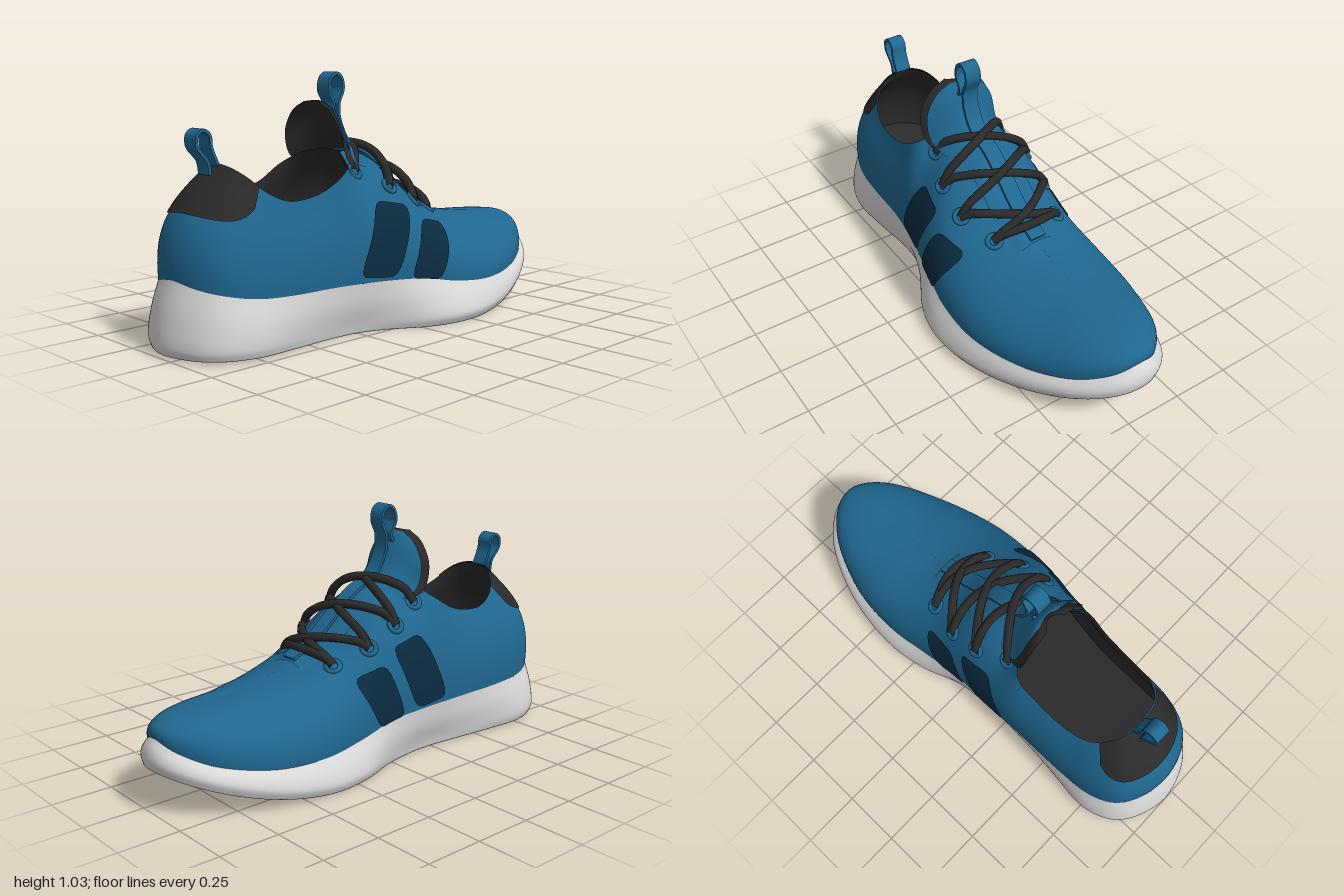
import * as THREE from 'three';
import { toCreasedNormals } from 'three/addons/utils/BufferGeometryUtils.js';

const V = (x, y, z) => new THREE.Vector3(x, y, z);
const clamp = THREE.MathUtils.clamp, smooth = THREE.MathUtils.smoothstep;
const SPINE = -0.045;

// Rows run from heel to toe; every row gives one point on each side.
// Sole outline: x, z of outer side, z of inner side
const soleEdge = [
  [-1, -0.05, -0.05], [-0.965, 0.09, -0.19], [-0.89, 0.18, -0.285], [-0.76, 0.225, -0.33],
  [-0.6, 0.215, -0.315], [-0.4, 0.195, -0.285], [-0.25, 0.205, -0.27], [-0.12, 0.255, -0.275],
  [0.03, 0.345, -0.305], [0.2, 0.385, -0.365], [0.4, 0.365, -0.39], [0.64, 0.29, -0.36],
  [0.85, 0.18, -0.275], [0.965, 0.065, -0.165], [1, -0.05, -0.05]];
// Seam between sole and upper: x, y, z of outer side, z of inner side
const seamEdge = [
  [-0.95, 0.285, -0.05, -0.05], [-0.925, 0.265, 0.07, -0.17], [-0.86, 0.245, 0.155, -0.26],
  [-0.75, 0.225, 0.2, -0.305], [-0.6, 0.215, 0.215, -0.315], [-0.4, 0.212, 0.222, -0.315],
  [-0.25, 0.21, 0.243, -0.315], [-0.12, 0.207, 0.27, -0.315], [0.03, 0.197, 0.307, -0.315],
  [0.2, 0.165, 0.335, -0.33], [0.4, 0.147, 0.33, -0.35], [0.62, 0.155, 0.27, -0.33],
  [0.82, 0.195, 0.17, -0.255], [0.935, 0.248, 0.06, -0.155], [0.97, 0.285, -0.048, -0.048]];
// Collar, then the crown line of the forefoot: x, y, half width
const topEdge = [
  [-0.745, 0.695, 0], [-0.738, 0.685, 0.07], [-0.712, 0.655, 0.125], [-0.65, 0.595, 0.175],
  [-0.55, 0.557, 0.196], [-0.4, 0.58, 0.203], [-0.27, 0.655, 0.195], [-0.2, 0.71, 0.08],
  [-0.03, 0.675, 0], [0.17, 0.52, 0], [0.36, 0.428, 0], [0.5, 0.395, 0],
  [0.6, 0.38, 0], [0.66, 0.373, 0], [0.68, 0.371, 0]];

// Closed curve: out along the outer side, back along the inner side
function loop(rows, outer, inner) {
  const pts = [...rows.map(outer), ...rows.slice(1, -1).reverse().map(inner)];
  return new THREE.CatmullRomCurve3(pts, true, 'catmullrom', 0.5);
}
const soleBottom = x => (x > 0.25 ? 0.17 * ((x - 0.25) / 0.75) ** 2 : 0.012 * smooth(-x, 0.3, 0.9));
const soleLoop = loop(soleEdge, r => V(r[0], 0, r[1]), r => V(r[0], 0, r[2]));
const seamLoop = loop(seamEdge, r => V(r[0], r[1], r[2]), r => V(r[0], r[1], r[3]));
const topLoop = loop(topEdge, r => V(r[0], r[1], -0.035 + r[2]), r => V(r[0], r[1], -0.035 - r[2]));

// Smooth surface from a rule f(u, v), optionally closed along u
function grid(f, nu, nv, closed = false, flip = false) {
  const pos = [], idx = [], cols = closed ? nu : nu + 1;
  for (let j = 0; j <= nv; j++)
    for (let i = 0; i < cols; i++) pos.push(...f(i / nu, j / nv).toArray());
  for (let j = 0; j < nv; j++)
    for (let i = 0; i < nu; i++) {
      const k = (i + 1) % cols, a = j * cols + i, b = j * cols + k, c = b + cols, d = a + cols;
      idx.push(...(flip ? [a, c, b, a, d, c] : [a, b, c, a, c, d]));
    }
  const g = new THREE.BufferGeometry();
  g.setAttribute('position', new THREE.Float32BufferAttribute(pos, 3));
  g.setIndex(idx);
  g.computeVertexNormals();
  return g;
}

// Upper: each profile curves from the seam up to the collar or crown
function upper(t, s) {
  t = ((t % 1) + 1) % 1;
  const a = seamLoop.getPoint(t), d = topLoop.getPoint(t), h = d.y - a.y;
  const out = V(a.x - clamp(a.x, -0.7, 0.6), 0, a.z - SPINE).normalize();
  const toe = smooth(a.x, 0.65, 0.95);
  const full = 0.6 - 0.14 * clamp((a.z - SPINE) / 0.2, -1, 1) + 0.12 * toe;
  const b = a.clone().addScaledVector(out, 0.015).add(V(0, (0.5 + 0.25 * toe) * h, 0));
  const c = d.clone().lerp(a, full);
  c.y = d.y - h * (0.3 - 0.26 * smooth(d.x, -0.27, -0.08));
  return new THREE.CubicBezierCurve3(a, b, c, d).getPoint(s);
}
function upperNormal(t, s) {
  const e = 1e-3, q = Math.min(s, 0.99), p = upper(t, q);
  return upper(t + e, q).sub(p).cross(upper(t, q + e).sub(p)).normalize();
}
const raised = (t, s, d) => upper(t, s).addScaledVector(upperNormal(t, s), d);

// Finds the surface parameters at a given x and y on one side
const samples = [];
for (let i = 1; i < 90; i++)
  for (let j = 0; j <= 30; j++) samples.push([i / 90, j / 30, upper(i / 90, j / 30)]);
function findOnUpper(x, y, side) {
  let t = 0, s = 0, best = 9;
  for (const [ti, si, p] of samples) {
    const dist = Math.hypot(p.x - x, p.y - y);
    if ((ti < 0.5) === (side > 0) && dist < best) { best = dist; t = ti; s = si; }
  }
  for (let k = 0; k < 5; k++) {
    const e = 1e-4, p = upper(t, s);
    const dt = upper(t + e, s).sub(p).divideScalar(e), ds = upper(t, s + e).sub(p).divideScalar(e);
    const det = dt.x * ds.y - dt.y * ds.x, ex = x - p.x, ey = y - p.y;
    if (Math.abs(det) < 1e-4) break;
    t += clamp((ex * ds.y - ey * ds.x) / det, -0.02, 0.02);
    s = clamp(s + clamp((dt.x * ey - dt.y * ex) / det, -0.05, 0.05), 0, 1);
  }
  return [t, s];
}

// Webbing strip: a path in the side plane given thickness and width
function ribbon(path, width, zc) {
  const curve = new THREE.CatmullRomCurve3(path.map(p => V(p[0], p[1], 0)));
  const a = [], b = [];
  for (let i = 0; i <= 70; i++) {
    const p = curve.getPoint(i / 70), q = curve.getTangent(i / 70);
    a.push(new THREE.Vector2(p.x - q.y * 0.006, p.y + q.x * 0.006));
    b.unshift(new THREE.Vector2(p.x + q.y * 0.006, p.y - q.x * 0.006));
  }
  const g = new THREE.ExtrudeGeometry(new THREE.Shape([...a, ...b]), { depth: width, bevelEnabled: false });
  return toCreasedNormals(g.translate(0, 0, zc - width / 2), 0.8);
}

export function createModel() {
  const model = new THREE.Group();
  const material = (name, color) =>
    Object.assign(new THREE.MeshStandardMaterial({ color, side: THREE.DoubleSide }), { name });
  const blue = material('blue knit', 0x1f6790), navy = material('navy patch', 0x0b2c41);
  const black = material('black lining', 0x2a2a2a), white = material('pale sole', 0xdadada);
  const add = (name, geometry, mat) => {
    const mesh = new THREE.Mesh(geometry, mat);
    mesh.name = name;
    model.add(mesh);
    return mesh;
  };

  // Sole: underside rising to the toe, rounded edge, wall tapering to the seam
  const soleRule = (t, v) => {
    const e = soleLoop.getPoint(t), top = seamLoop.getPoint(t);
    const inset = k => {
      const x = e.x * (0.8 + 0.2 * k);
      return V(x, soleBottom(x), SPINE + (e.z - SPINE) * k);
    };
    if (v < 0.2) return inset(v * 4.6);
    const wide = V(e.x, soleBottom(e.x) + 0.035, e.z), mid = wide.clone().lerp(top, 0.5);
    mid.add(V(e.x - clamp(e.x, -0.7, 0.6), 0, e.z - SPINE).normalize().multiplyScalar(0.008));
    return new THREE.CatmullRomCurve3([inset(0.96), wide, mid, top]).getPoint((v - 0.2) / 0.8);
  };
  add('sole', grid(soleRule, 140, 20, true), white);

  // Upper with dark lining and insole
  add('upper', grid(upper, 168, 28, true), blue);
  add('lining', grid((t, s) => {
    const p = upper(t, s), k = 0.015 * Math.min(1, (1 - s) * 8);
    const inward = V(clamp(p.x, -0.6, 0.5) - p.x, 0, SPINE - p.z).normalize();
    return p.addScaledVector(inward, k).add(V(0, -0.6 * k, 0));
  }, 140, 20, true, true), black);
  add('insole', grid((t, s) => {
    const p = seamLoop.getPoint(t);
    return V(p.x * 0.98, p.y + 0.005, SPINE + (p.z - SPINE) * s * 0.96);
  }, 100, 4, true, true), black);

  // Heel patch
  add('heelPatch', grid((u, v) => {
    const q = 2 * u - 1, s0 = 0.51 + 0.06 * q * q + 0.2 * q ** 8;
    return raised(q * 2.6 / 28, s0 + (1 - s0) * v, 0.006);
  }, 36, 12), black);

  // Side patches: rounded slanted panels on both sides
  const panels = [
    [[-0.285, 0.235], [-0.105, 0.218], [0.005, 0.49], [-0.16, 0.525]],
    [[-0.045, 0.205], [0.1, 0.182], [0.21, 0.395], [0.045, 0.435]]];
  for (const side of [1, -1])
    for (const [a, b, c, d] of panels)
      add('sidePatch', grid((u, v) => {
        const ang = u * 2 * Math.PI, co = Math.cos(ang), si = Math.sin(ang);
        const r = v / (Math.abs(co) ** 6 + Math.abs(si) ** 6) ** (1 / 6);
        const m = (1 + r * co) / 2, n = (1 + r * si) / 2;
        const at = k => (a[k] * (1 - m) + b[k] * m) * (1 - n) + (d[k] * (1 - m) + c[k] * m) * n;
        return raised(...findOnUpper(at(0), at(1), side), 0.006);
      }, 40, 7, true, side < 0), navy);

  // Tongue: arched sheet; rows give x, y, half width, then how far the edges fall back and down
  const rows = [[0.34, 0.45, 0.1, 0, 0.03], [0.2, 0.515, 0.11, 0, 0.03], [0.1, 0.597, 0.11, 0, 0.03],
    [0, 0.672, 0.115, 0.01, 0.04], [-0.1, 0.722, 0.15, 0.04, 0.07], [-0.155, 0.795, 0.165, 0.06, 0.105],
    [-0.193, 0.868, 0.158, 0.05, 0.08], [-0.222, 0.902, 0.11, 0.025, 0.035], [-0.235, 0.91, 0.045, 0.01, 0.006]];
  const mid = new THREE.CatmullRomCurve3(rows.map(r => V(r[0], r[1], r[2])));
  const fall = new THREE.CatmullRomCurve3(rows.map(r => V(r[3], r[4], 0)), false, 'catmullrom');
  const tongue = (u, v, wide, back) => {
    const q = 2 * u - 1, m = mid.getPoint(v), f = fall.getPoint(v);
    return V(m.x - (f.x + back) * q * q, m.y - f.y * q * q, -0.035 - m.z * wide * q);
  };
  add('tongue', grid((u, v) => tongue(u, v, 1, 0), 24, 48, false, true), blue);
  add('tongueLining', grid((u, v) =>
    tongue(u, 0.5 + 0.5 * v, 1.06, 0.022).add(V(-0.014, -0.006 + 0.012 * v, 0)), 24, 30), black);

  // Pull loops
  add('tonguePull', ribbon([[-0.2, 0.87], [-0.188, 0.9], [-0.214, 0.955], [-0.203, 1.005], [-0.175, 1.022],
    [-0.147, 1.005], [-0.137, 0.96], [-0.162, 0.895], [-0.15, 0.815], [-0.1, 0.738], [0, 0.686],
    [0.1, 0.611], [0.2, 0.528], [0.335, 0.46]], 0.07, -0.035), blue);
  add('heelPull', ribbon([[-0.79, 0.66], [-0.8, 0.71], [-0.845, 0.765], [-0.845, 0.808], [-0.817, 0.826],
    [-0.79, 0.808], [-0.782, 0.76], [-0.752, 0.69]], 0.07, -0.055), blue);

  // Eyelets
  const holes = [[-0.19, 0.635], [-0.05, 0.57], [0.09, 0.5], [0.24, 0.445]];
  const eyelets = { 1: [], '-1': [] };
  for (const side of [1, -1])
    for (const [x, y] of holes) {
      const [t, s] = findOnUpper(x, y, side), n = upperNormal(t, s);
      const ring = add('eyelet', new THREE.TorusGeometry(0.028, 0.01, 8, 24), blue);
      ring.position.copy(upper(t, s));
      ring.quaternion.setFromUnitVectors(V(0, 0, 1), n);
      eyelets[side].push(raised(t, s, 0.004));
    }

  // Laces: arches over the tongue between eyelets
  const crown = x => {
    const i = clamp(rows.findIndex(r => r[0] <= x), 1, rows.length - 1), a = rows[i - 1], b = rows[i];
    return THREE.MathUtils.mapLinear(x, a[0], b[0], a[1], b[1]);
  };
  const lace = (a, b, shift, lift) => {
    const pts = [], xm = a.x + (b.x - a.x) * Math.SQRT1_2 + shift;
    const rise = crown(xm) + lift - (a.y + b.y) / 2;
    for (let i = 0; i <= 12; i++) {
      const u = i / 12, arc = Math.sin(Math.PI * u), p = a.clone().lerp(b, u);
      p.x = a.x + (b.x - a.x) * Math.sin(Math.PI * u / 2) + shift * arc;
      p.y += rise * Math.max(arc, 0) ** 0.55;
      pts.push(p);
    }
    add('lace', new THREE.TubeGeometry(new THREE.CatmullRomCurve3(pts), 40, 0.018, 8), black);
  };
  for (let i = 0; i < 3; i++) {
    lace(eyelets[1][i], eyelets[-1][i + 1], 0.035, 0.024);
    lace(eyelets[-1][i], eyelets[1][i + 1], 0.035, 0.034);
  }
  lace(eyelets[1][3], eyelets[-1][3], 0.045, 0.022);
  return model;
}
